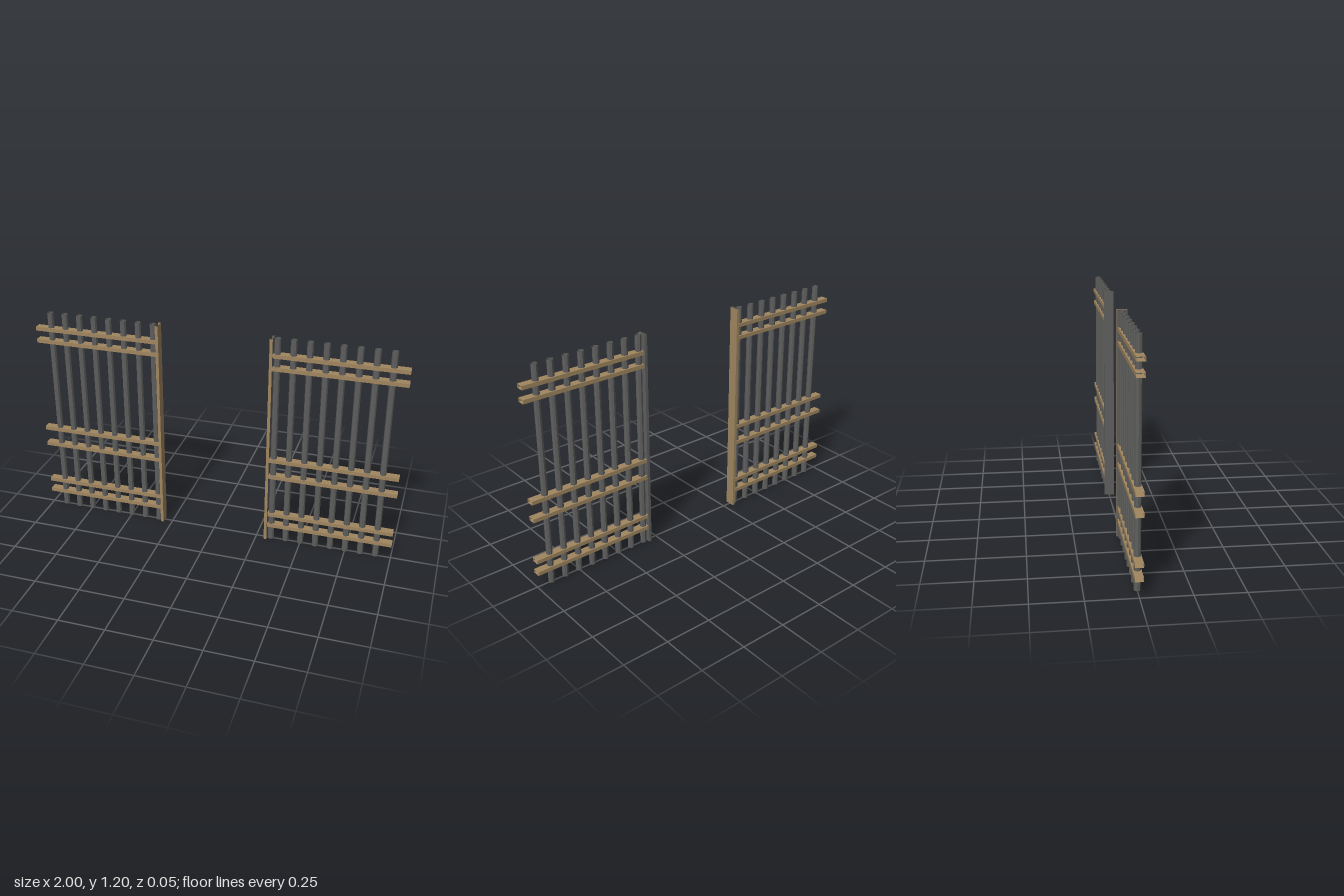
import * as THREE from 'three';

const wood = new THREE.MeshStandardMaterial({ name: 'wood', color: 0xa08660, side: THREE.DoubleSide });
const iron = new THREE.MeshStandardMaterial({ name: 'iron', color: 0x5e5f5d, side: THREE.DoubleSide });

// Hollow box: one material per side (+x, -x, +y, -y, +z, -z); null leaves that side open
function openBox(name, w, h, d, sides) {
  const geometry = new THREE.BoxGeometry(w, h, d);
  const old = Array.from(geometry.index.array);
  const index = [];
  const materials = [];
  geometry.clearGroups();
  sides.forEach((material, i) => {
    if (!material) return;
    geometry.addGroup(index.length, 6, materials.length);
    index.push(...old.slice(i * 6, i * 6 + 6));
    materials.push(material);
  });
  geometry.setIndex(index);
  const mesh = new THREE.Mesh(geometry, materials);
  mesh.name = name;
  return mesh;
}

const HEIGHT = 1.2;
const RAIL_HEIGHTS = [0.09, 0.16, 0.4, 0.5, 1.035, 1.105];
const RAIL_START = 0.307;

// One fence panel; side is +1 for the left panel and -1 for the right
function createPanel(side) {
  const panel = new THREE.Group();
  panel.name = side > 0 ? 'leftPanel' : 'rightPanel';

  // Upright bars: open eight-sided tubes
  const barGeometry = new THREE.CylinderGeometry(0.017, 0.017, HEIGHT, 8, 1, true).toNonIndexed();
  barGeometry.computeVertexNormals();
  for (let i = 0; i < 8; i++) {
    const bar = new THREE.Mesh(barGeometry, iron);
    bar.name = 'uprightBar';
    bar.position.set(side * (0.333 + i / 12), HEIGHT / 2, 0);
    panel.add(bar);
  }

  // Cross rails with open ends
  for (const y of RAIL_HEIGHTS) {
    const rail = openBox('crossRail', 1 - RAIL_START, 0.021, 0.042, [null, null, wood, wood, wood, wood]);
    rail.position.set(side * (1 + RAIL_START) / 2, y, -0.001);
    panel.add(rail);
  }

  // Flat post on the inner edge
  const postSides = side > 0
    ? [iron, iron, null, null, wood, iron]
    : [wood, iron, null, null, wood, wood];
  const post = openBox('innerPost', 0.016, HEIGHT, 0.054, postSides);
  post.position.set(side * 0.305, HEIGHT / 2, 0);
  panel.add(post);
  return panel;
}

export function createModel() {
  const model = new THREE.Group();
  model.name = 'fencePanels';
  model.add(createPanel(1), createPanel(-1));
  return model;
}
